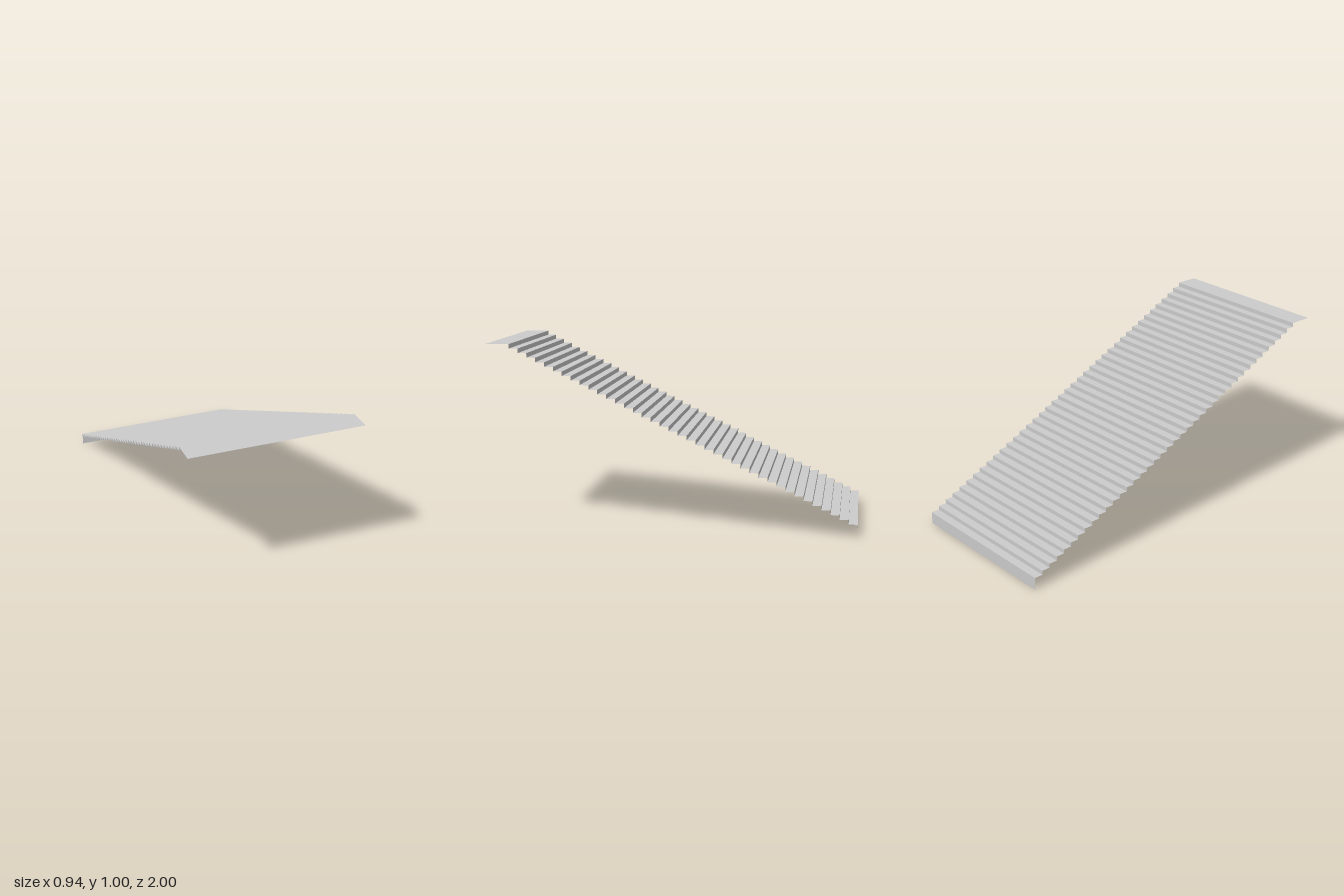
import * as THREE from 'three';

const STEPS = 39;
const HALF_WIDTH = 0.471;
const FIRST_RISE = 0.069, TOP = 1.004;
const BACK = -1, LANDING = 0.873, FRONT = 1;
const RISE = (TOP - FIRST_RISE) / STEPS;
const RUN = (LANDING - BACK) / STEPS;

const material = new THREE.MeshStandardMaterial({ color: 0xcccccc, side: THREE.DoubleSide });

// Sheet panels spanning the full width, each from side-profile point [z, y] to the next
function panels(name, segments) {
  const positions = [];
  for (const [[z0, y0], [z1, y1]] of segments) {
    const a = [-HALF_WIDTH, y0, z0], b = [HALF_WIDTH, y0, z0];
    const c = [HALF_WIDTH, y1, z1], d = [-HALF_WIDTH, y1, z1];
    positions.push(...a, ...d, ...c, ...a, ...c, ...b);
  }
  const geometry = new THREE.BufferGeometry();
  geometry.setAttribute('position', new THREE.Float32BufferAttribute(positions, 3));
  geometry.computeVertexNormals();
  const mesh = new THREE.Mesh(geometry, material);
  mesh.name = name;
  return mesh;
}

export function createModel() {
  const staircase = new THREE.Group();
  staircase.name = 'staircase';

  // Steps climb from the back towards the front
  const treads = [], risers = [];
  for (let i = 0; i < STEPS; i++) {
    const z = BACK + i * RUN, y = FIRST_RISE + i * RISE;
    treads.push([[z, y], [z + RUN, y]]);
    risers.push([[z + RUN, y], [z + RUN, y + RISE]]);
  }

  staircase.add(
    panels('bottomRiser', [[[BACK, 0], [BACK, FIRST_RISE]]]),
    panels('treads', treads),
    panels('risers', risers),
    panels('topLanding', [[[LANDING, TOP], [FRONT, TOP]]])
  );
  return staircase;
}
